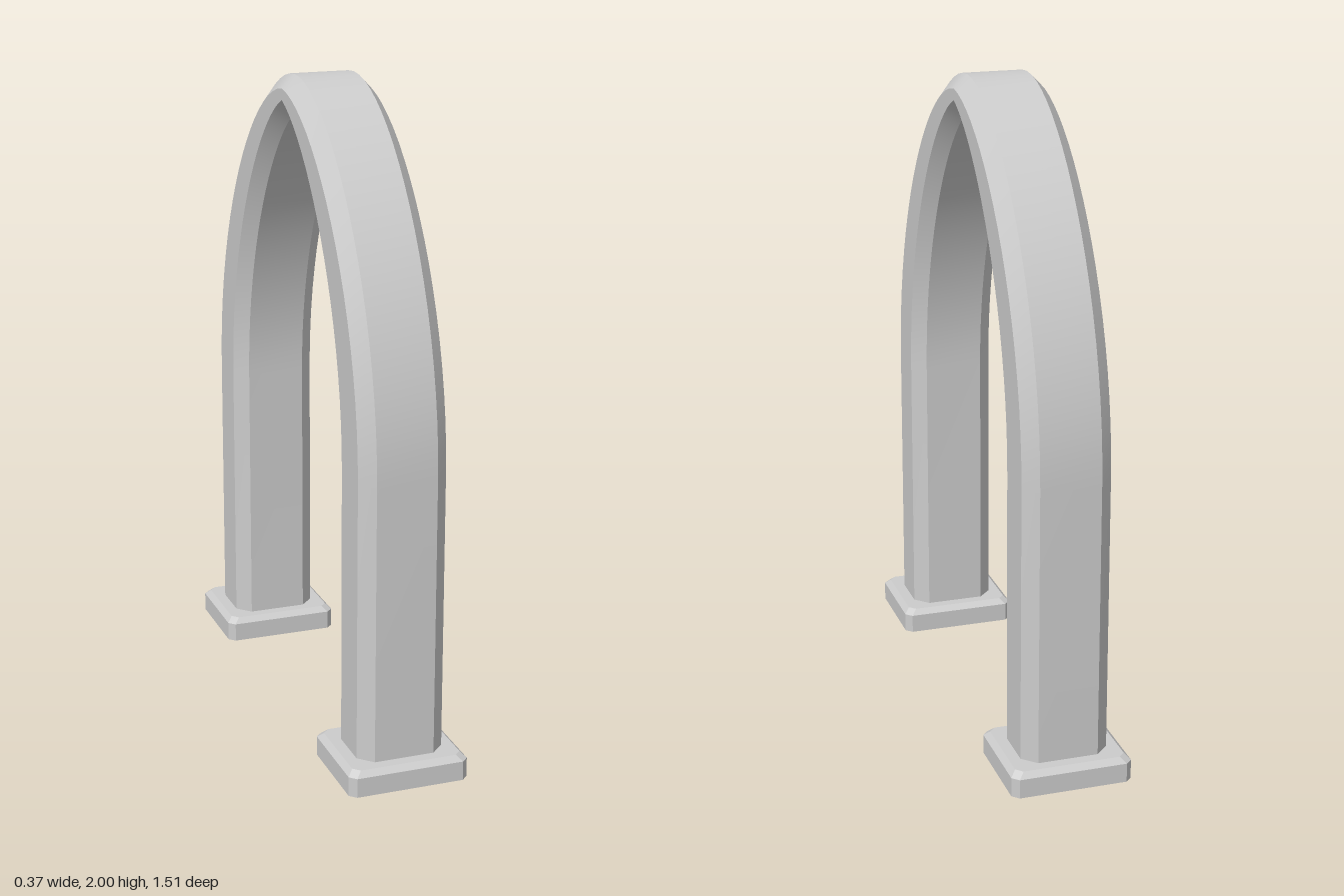
import * as THREE from 'three';
import { toCreasedNormals } from 'three/addons/utils/BufferGeometryUtils.js';

const material = new THREE.MeshStandardMaterial({ color: 0xcccccc });

// Skins a run of convex rings (counter-clockwise about the travel direction) and caps both ends.
function loft(rings, crease) {
  const n = rings[0].length;
  const index = [];
  for (let i = 0; i < rings.length - 1; i++) {
    for (let j = 0; j < n; j++) {
      const k = (j + 1) % n;
      const a = i * n + j, b = i * n + k, c = b + n, d = a + n;
      index.push(a, b, c, a, c, d);
    }
  }
  const last = (rings.length - 1) * n;
  for (let j = 1; j < n - 1; j++) {
    index.push(0, j + 1, j, last, last + j, last + j + 1);
  }
  const geometry = new THREE.BufferGeometry();
  geometry.setAttribute('position', new THREE.Float32BufferAttribute(rings.flat(2), 3));
  geometry.setIndex(index);
  return toCreasedNormals(geometry, crease);
}

// Rail from the spring line to the apex, as (z, y)
function rail(z, y1, z2, y2, top) {
  const v = (a, b) => new THREE.Vector2(a, b);
  return new THREE.CubicBezierCurve(v(z, 0.93), v(z, y1), v(z2, y2), v(0, top));
}

// Pointed arch: chamfered section that thins towards the apex
function createArch() {
  const rails = [
    rail(0.705, 1.5, 0.3, 2.0, 2.0), // outer face
    rail(0.663, 1.48, 0.28, 1.93, 1.96), // outer chamfer
    rail(0.53, 1.42, 0.22, 1.84, 1.925), // inner chamfer
    rail(0.487, 1.4, 0.2, 1.79, 1.885), // inner face
  ];
  const section = [[-0.093, 0], [0.093, 0], [0.135, 1], [0.135, 2],
    [0.093, 3], [-0.093, 3], [-0.135, 2], [-0.135, 1]];
  const steps = 20;
  const half = [];
  for (let i = -1; i <= steps; i++) {
    const points = rails.map((r) => r.getPoint(Math.max(i, 0) / steps));
    half.push(section.map(([x, r]) => [x, i < 0 ? 0.04 : points[r].y, points[r].x]));
  }
  // The back half mirrors the front
  const back = half.slice(0, -1).reverse().map((ring) => ring.map(([x, y, z]) => [x, y, -z]));
  return loft([...half, ...back], THREE.MathUtils.degToRad(28));
}

// Foot plate: clipped corners and a bevelled top edge
function createFoot() {
  const ring = (y, inset) => {
    const w = 0.187 - inset, d = 0.16 - inset, c = 0.02;
    return [[-w + c, d], [w - c, d], [w, d - c], [w, -d + c],
      [w - c, -d], [-w + c, -d], [-w, -d + c], [-w, d - c]].map(([x, z]) => [x, y, z]);
  };
  return loft([ring(0, 0), ring(0.06, 0), ring(0.077, 0.017)], 0.1);
}

export function createModel() {
  const group = new THREE.Group();
  group.name = 'archway';

  const arch = new THREE.Mesh(createArch(), material);
  arch.name = 'arch';
  group.add(arch);

  const footGeometry = createFoot();
  for (const side of [1, -1]) {
    const foot = new THREE.Mesh(footGeometry, material);
    foot.name = side > 0 ? 'frontFoot' : 'backFoot';
    foot.position.z = side * 0.597;
    group.add(foot);
  }
  return group;
}
